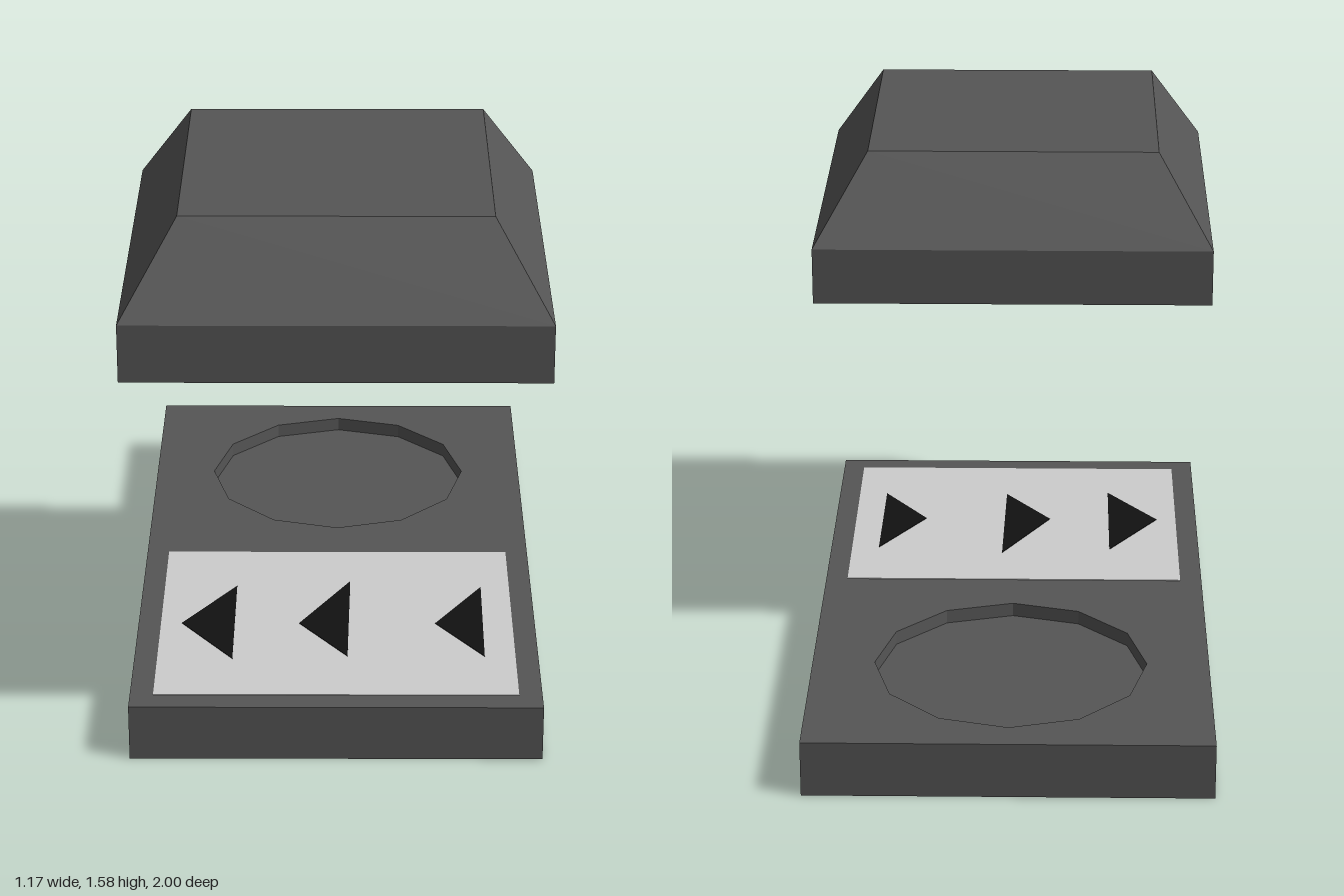
import * as THREE from 'three';

const paint = (name, color) => {
  const m = new THREE.MeshStandardMaterial({ color });
  m.name = name;
  return m;
};

const polygon = (points) => new THREE.Shape(points.map(([x, z]) => new THREE.Vector2(x, -z)));

// Horizontal plate: an (x, z) outline raised from y = bottom
function plate(name, shape, bottom, height, material) {
  const geometry = new THREE.ExtrudeGeometry(shape, { depth: height, bevelEnabled: false });
  geometry.rotateX(-Math.PI / 2);
  geometry.translate(0, bottom, 0);
  const mesh = new THREE.Mesh(geometry, material);
  mesh.name = name;
  return mesh;
}

const rectangle = (x, z0, z1) => polygon([[-x, z1], [x, z1], [x, z0], [-x, z0]]);

export function createModel() {
  const darkGrey = paint('dark grey', 0x555555);
  const lightGrey = paint('light grey', 0xcccccc);
  const black = paint('black', 0x111111);

  const half = 0.583, baseTop = 0.167, recessFloor = 0.125;
  const model = new THREE.Group();
  model.name = 'slabWithFloatingBlock';

  // Base slab: solid bottom plus a top layer with the twelve-sided recess
  const base = new THREE.Group();
  base.name = 'base';
  const rim = rectangle(half, -1, 1);
  const hole = new THREE.Path();
  for (let i = 0; i < 12; i++) {
    const a = -i * Math.PI / 6;
    const x = 0.4 * Math.cos(a), y = 0.5 + 0.4 * Math.sin(a);
    if (i === 0) hole.moveTo(x, y); else hole.lineTo(x, y);
  }
  hole.closePath();
  rim.holes.push(hole);
  base.add(
    plate('baseBottom', rectangle(half, -1, 1), 0, recessFloor, darkGrey),
    plate('baseRim', rim, recessFloor, baseTop - recessFloor, darkGrey)
  );
  model.add(base);

  // Light panel with three dark triangular marks
  model.add(plate('panel', rectangle(0.517, 0.067, 0.933), baseTop, 0.002, lightGrey));
  const marks = [
    [[-0.455, 0.52], [-0.3, 0.73], [-0.3, 0.29]],
    [[-0.11, 0.52], [0.032, 0.715], [0.04, 0.26]],
    [[0.29, 0.52], [0.428, 0.715], [0.432, 0.295]]
  ];
  marks.forEach((points, i) =>
    model.add(plate(`panelMark${i + 1}`, polygon(points), baseTop + 0.002, 0.002, black)));

  // Floating block: square walls with a tapered top, turned as a four-sided profile
  const r = Math.SQRT2;
  const profile = [[0, 1.167], [half * r, 1.167], [half * r, 1.333], [0.425 * r, 1.583], [0, 1.583]]
    .map(([x, y]) => new THREE.Vector2(x, y));
  const blockGeometry = new THREE.LatheGeometry(profile, 4, Math.PI / 4).toNonIndexed();
  blockGeometry.computeVertexNormals();
  const block = new THREE.Mesh(blockGeometry, darkGrey);
  block.name = 'floatingBlock';
  block.position.z = 1 - half;
  model.add(block);

  return model;
}
